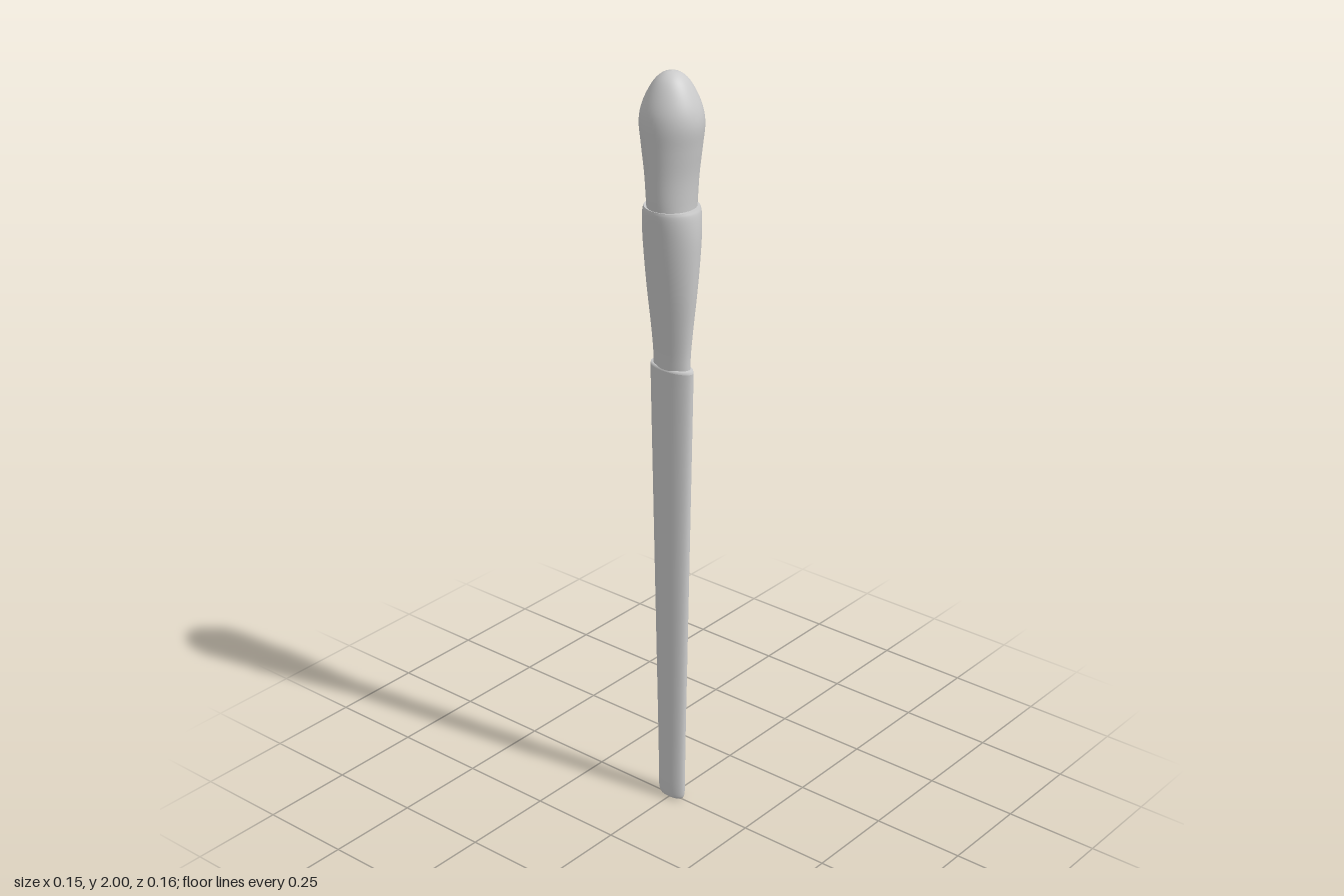
import * as THREE from 'three';
import { mergeGeometries } from 'three/addons/utils/BufferGeometryUtils.js';

const SIDES = 48;

// Smooth loft through elliptical sections [halfWidthX, y, halfDepthZ], listed bottom to top
function loft(sections, steps) {
  const curve = new THREE.CatmullRomCurve3(
    sections.map(s => new THREE.Vector3(...s)), false, 'centripetal');
  const rows = steps === 1
    ? sections.map(s => new THREE.Vector3(...s))
    : curve.getPoints(steps);
  const pos = [], index = [];
  rows.forEach((r, i) => {
    for (let j = 0; j < SIDES; j++) {
      const a = j / SIDES * Math.PI * 2;
      pos.push(Math.max(r.x, 0) * Math.cos(a), r.y, Math.max(r.z, 0) * Math.sin(a));
      if (i === rows.length - 1) continue;
      const k = (j + 1) % SIDES;
      const p = i * SIDES + j, q = i * SIDES + k;
      index.push(p, p + SIDES, q, q, p + SIDES, q + SIDES);
    }
  });
  const geo = new THREE.BufferGeometry();
  geo.setAttribute('position', new THREE.Float32BufferAttribute(pos, 3));
  geo.setIndex(index);
  geo.computeVertexNormals();
  return geo;
}

export function createModel() {
  const group = new THREE.Group();
  const material = new THREE.MeshStandardMaterial({ color: 0xcccccc });
  // Separate lofts in one part keep a sharp edge where they meet
  const add = (name, ...lofts) => {
    const mesh = new THREE.Mesh(mergeGeometries(lofts), material);
    mesh.name = name;
    group.add(mesh);
  };

  // Flat oval handle: rounded foot, tapered shaft, flat shoulder under the ferrule
  add('handle',
    loft([[0, 0, 0], [0.012, 0, 0.03]], 1),
    loft([[0.012, 0, 0.03], [0.017, 0.005, 0.037], [0.019, 0.018, 0.041],
      [0.02, 0.15, 0.043], [0.023, 0.5, 0.05], [0.027, 0.95, 0.059],
      [0.029, 1.245, 0.065]], 40),
    loft([[0.029, 1.245, 0.065], [0.027, 1.253, 0.063], [0, 1.253, 0]], 1));

  // Ferrule flares from the flat handle to the round head
  add('ferrule',
    loft([[0.028, 1.245, 0.054], [0.03, 1.29, 0.055], [0.036, 1.36, 0.061],
      [0.046, 1.45, 0.07], [0.056, 1.54, 0.076], [0.062, 1.6, 0.078],
      [0.066, 1.64, 0.076], [0.067, 1.66, 0.073], [0.066, 1.668, 0.07]], 40),
    loft([[0.066, 1.668, 0.07], [0.06, 1.668, 0.055]], 1));

  // Bristle head with a domed tip
  add('bristles',
    loft([[0.063, 1.655, 0.059], [0.066, 1.69, 0.06], [0.069, 1.75, 0.064],
      [0.073, 1.82, 0.074], [0.075, 1.875, 0.081], [0.071, 1.91, 0.076],
      [0.057, 1.95, 0.059], [0.039, 1.98, 0.039], [0.02, 1.995, 0.02],
      [0, 2, 0]], 48));

  return group;
}
